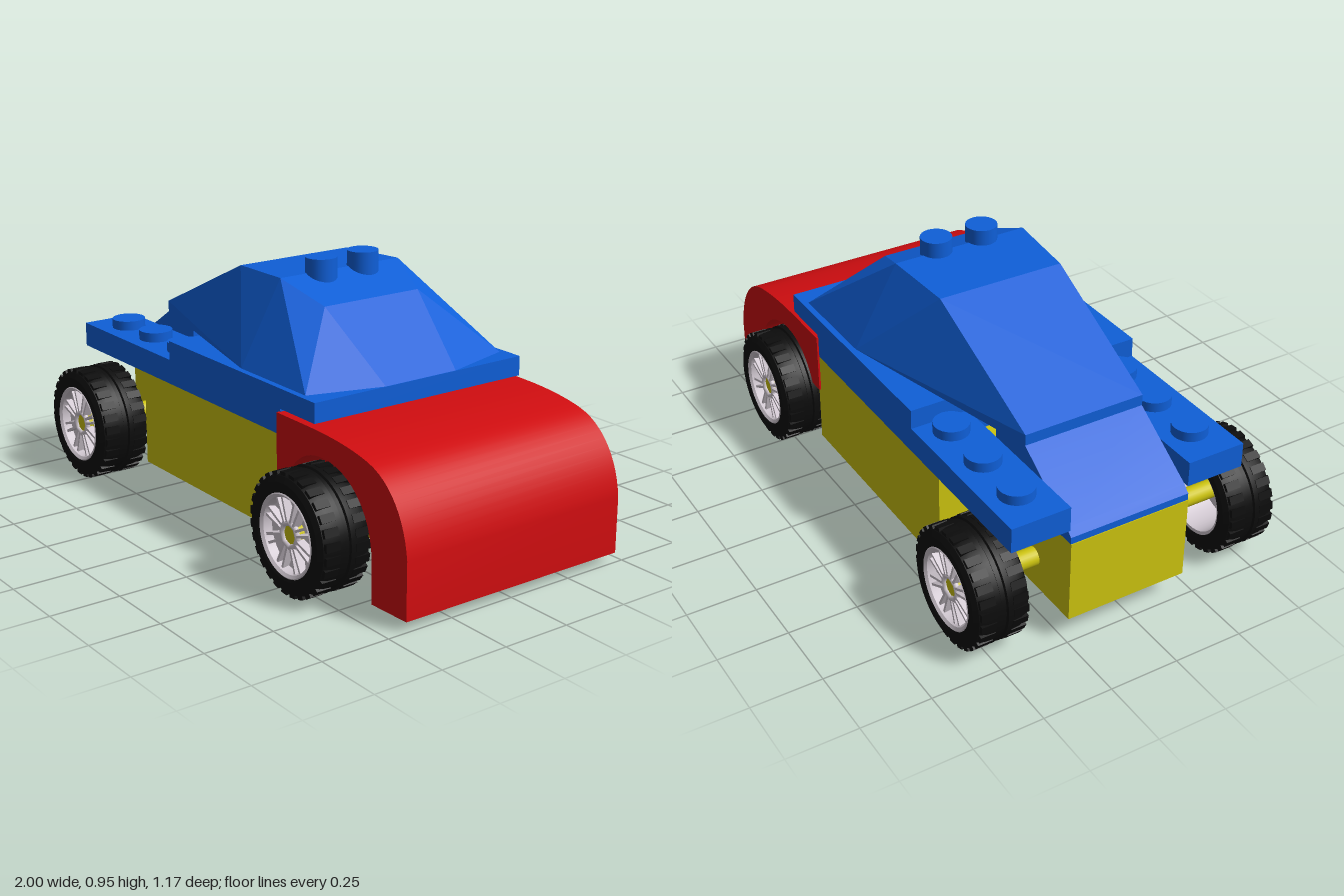
import * as THREE from 'three';
import { toCreasedNormals } from 'three/addons/utils/BufferGeometryUtils.js';
import { ConvexGeometry } from 'three/addons/geometries/ConvexGeometry.js';

const mat = (color) => new THREE.MeshStandardMaterial({ color, side: THREE.DoubleSide });
const BLUE = mat(0x0f5fd8), RED = mat(0xd00d10), YELLOW = mat(0xcdc40f);
const BLACK = mat(0x0c0c0c), RIM = mat(0xd5ccd5);
const ZC = -0.022; // body centre line

function add(parent, name, geometry, material) {
  const mesh = new THREE.Mesh(geometry, material);
  mesh.name = name;
  parent.add(mesh);
  return mesh;
}

// box given by its limits
function block(parent, name, material, [x0, x1], [y0, y1], [z0, z1]) {
  const g = new THREE.BoxGeometry(x1 - x0, y1 - y0, z1 - z0);
  g.translate((x0 + x1) / 2, (y0 + y1) / 2, (z0 + z1) / 2);
  return add(parent, name, g, material);
}

function stud(parent, material, x, y0, y1, z, r = 0.062) {
  const g = new THREE.CylinderGeometry(r, r, y1 - y0, 24);
  g.translate(x, (y0 + y1) / 2, z);
  return add(parent, 'stud', g, material);
}

// side outline in x, y pulled across z
function across(shape, z0, z1) {
  const g = new THREE.ExtrudeGeometry(shape, { depth: z1 - z0, bevelEnabled: false, curveSegments: 12 });
  g.translate(0, 0, z0);
  return toCreasedNormals(g, 0.5);
}

function lathe(points, segments = 48) {
  const g = new THREE.LatheGeometry(points.map(([r, h]) => new THREE.Vector2(r, h)), segments);
  return toCreasedNormals(g.rotateX(Math.PI / 2), 0.5);
}

// wheel with its outer face towards +z
function makeWheel() {
  const wheel = new THREE.Group();
  wheel.name = 'wheel';
  add(wheel, 'tyre', lathe([
    [0.142, -0.095], [0.15, -0.1], [0.178, -0.1], [0.196, -0.088], [0.205, -0.06],
    [0.208, -0.012], [0.201, -0.008], [0.201, 0.008], [0.208, 0.012],
    [0.205, 0.06], [0.196, 0.088], [0.178, 0.1], [0.15, 0.1], [0.142, 0.095],
  ]), BLACK);
  // tread lugs on both shoulders
  for (let i = 0; i < 28; i++) {
    for (const s of [-1, 1]) {
      const a = ((i + (s > 0 ? 0.5 : 0)) / 28) * Math.PI * 2;
      const lug = add(wheel, 'treadLug', new THREE.BoxGeometry(0.02, 0.028, 0.055), BLACK);
      lug.position.set(Math.cos(a) * 0.199, Math.sin(a) * 0.199, s * 0.058);
      lug.rotation.z = a;
    }
  }
  // barrel and lip, open at the back
  add(wheel, 'rim', lathe([
    [0.132, -0.09], [0.145, -0.09], [0.145, 0.092], [0.138, 0.098], [0.128, 0.09],
    [0.122, 0.06], [0.04, 0.045], [0.04, 0.03], [0.125, 0.04], [0.132, -0.09],
  ]), RIM);
  // paired spokes
  for (let i = 0; i < 8; i++) {
    const spoke = new THREE.Group();
    spoke.name = 'spoke';
    for (const s of [-1, 1]) {
      const bar = add(spoke, 'spokeBar', new THREE.BoxGeometry(0.09, 0.009, 0.03), RIM);
      bar.position.set(0.087, s * 0.012, 0.068);
      bar.rotation.z = s * 0.08;
    }
    spoke.rotation.z = ((i + 0.5) / 8) * Math.PI * 2;
    wheel.add(spoke);
  }
  const hub = add(wheel, 'hubRing', new THREE.TorusGeometry(0.042, 0.01, 8, 8), RIM);
  hub.position.z = 0.075;
  const axle = add(wheel, 'axle', new THREE.CylinderGeometry(0.033, 0.033, 0.36, 24).rotateX(Math.PI / 2), YELLOW);
  axle.position.z = -0.105;
  return wheel;
}

export function createModel() {
  const car = new THREE.Group();
  car.name = 'toyCar';
  const full = [ZC - 0.44, ZC + 0.44], narrow = [ZC - 0.225, ZC + 0.225];

  // yellow chassis, narrow between the wheels
  block(car, 'chassisMiddle', YELLOW, [-0.55, 0.33], [0.1, 0.45], full);
  block(car, 'chassisTail', YELLOW, [-0.998, -0.55], [0.1, 0.4], narrow);
  block(car, 'chassisNose', YELLOW, [0.33, 0.775], [0.1, 0.44], narrow);

  // blue deck, with a fender on each side of the tail slope
  block(car, 'deck', BLUE, [-0.37, 0.32], [0.45, 0.54], full);
  for (const s of [-1, 1]) {
    const z = [ZC + s * 0.225, ZC + s * 0.44].sort((a, b) => a - b);
    block(car, 'fender', BLUE, [-0.99, -0.37], [0.45, 0.54], z);
    for (const x of [-0.845, -0.645, -0.445]) stud(car, BLUE, x, 0.53, 0.575, ZC + s * 0.332);
  }
  const slope = new THREE.Shape([
    [-0.995, 0.4], [-0.55, 0.4], [-0.55, 0.612], [-0.72, 0.612], [-0.97, 0.45], [-0.995, 0.425],
  ].map(([x, y]) => new THREE.Vector2(x, y)));
  add(car, 'tailSlope', across(slope, ...narrow), BLUE);

  // faceted roof: x, y and half width of each cross line
  block(car, 'roofBase', BLUE, [-0.37, 0.51], [0.54, 0.61], full);
  const roofPoints = [];
  for (const [x, y, w] of [
    [-0.725, 0.61, 0.225], [-0.725, 0.65, 0.225], [-0.21, 0.89, 0.235], [0.06, 0.9, 0.254],
    [0.24, 0.83, 0.2], [0.06, 0.61, 0.418], [0.43, 0.61, 0.418], [0.508, 0.61, 0.15],
  ]) {
    roofPoints.push(new THREE.Vector3(x, y, ZC + w), new THREE.Vector3(x, y, ZC - w));
  }
  add(car, 'roof', new ConvexGeometry(roofPoints), BLUE);
  for (const s of [-1, 1]) stud(car, BLUE, 0.07, 0.8, 0.955, ZC + s * 0.09, 0.056);

  // red hood, curving down over the front wheels
  const hood = new THREE.Shape();
  hood.moveTo(0.315, 0.31);
  hood.lineTo(0.37, 0.31);
  hood.bezierCurveTo(0.41, 0.4, 0.48, 0.445, 0.57, 0.445);
  hood.bezierCurveTo(0.71, 0.445, 0.825, 0.34, 0.825, 0.17);
  hood.lineTo(0.825, 0.035);
  hood.lineTo(0.998, 0.04);
  hood.lineTo(0.998, 0.24);
  hood.bezierCurveTo(0.985, 0.36, 0.92, 0.47, 0.8, 0.5);
  hood.bezierCurveTo(0.7, 0.525, 0.58, 0.53, 0.48, 0.53);
  hood.lineTo(0.315, 0.53);
  add(car, 'hood', across(hood, ZC - 0.447, ZC + 0.452), RED);
  for (const z of [-0.332, -0.1, 0.1, 0.332]) stud(car, RED, 0.41, 0.52, 0.545, ZC + z);

  // wheels
  for (const x of [-0.79, 0.57]) {
    for (const s of [-1, 1]) {
      const wheel = makeWheel();
      wheel.position.set(x, 0.215, s * 0.483);
      if (s < 0) wheel.rotation.y = Math.PI;
      car.add(wheel);
    }
  }
  return car;
}
